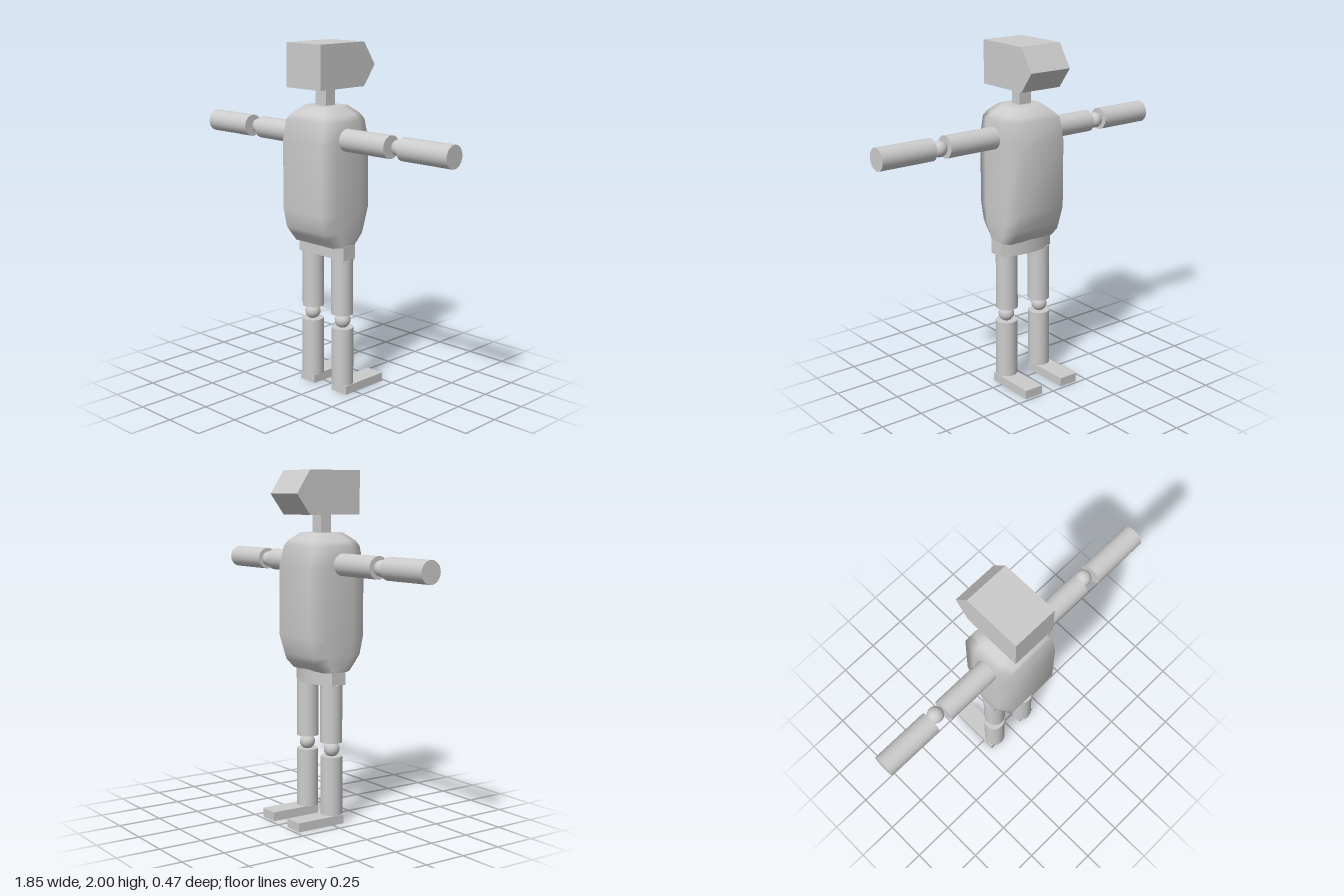
import * as THREE from 'three';

const grey = new THREE.MeshStandardMaterial({ color: 0xcccccc });

function add(parent, name, geometry, x = 0, y = 0, z = 0) {
  const mesh = new THREE.Mesh(geometry, grey);
  mesh.name = name;
  mesh.position.set(x, y, z);
  parent.add(mesh);
  return mesh;
}

// Eight-cornered cross-section with half width w, from front zf to back zb
function ring([y, w, zf, zb]) {
  const cx = w * 0.18, cz = (zf - zb) * 0.25;
  return [
    [w, zb + cz], [w, zf - cz], [w - cx, zf], [cx - w, zf],
    [-w, zf - cz], [-w, zb + cz], [cx - w, zb], [w - cx, zb],
  ].map(([x, z]) => [x, y, z]);
}

// Smooth skin over stacked rings, closed by flat caps
function loft(rows) {
  const rings = rows.map(ring), n = 8, pos = rings.flat(2), index = [];
  for (let r = 0; r < rings.length - 1; r++) {
    for (let i = 0; i < n; i++) {
      const a = r * n + i, b = r * n + (i + 1) % n;
      index.push(a, a + n, b, b, a + n, b + n);
    }
  }
  for (const [cap, up] of [[rings[0], false], [rings[rings.length - 1], true]]) {
    const start = pos.length / 3;
    pos.push(...cap.flat());
    for (let i = 1; i < n - 1; i++) {
      if (up) index.push(start, start + i + 1, start + i);
      else index.push(start, start + i, start + i + 1);
    }
  }
  const g = new THREE.BufferGeometry();
  g.setAttribute('position', new THREE.Float32BufferAttribute(pos, 3));
  g.setIndex(index);
  g.computeVertexNormals();
  return g;
}

export function createModel() {
  const model = new THREE.Group();
  model.name = 'mannequin';

  // Head: side profile with a wedge at the back, extruded across x
  const profile = new THREE.Shape([
    [-0.217, 1.755], [0.12, 1.755], [0.206, 1.87], [0.12, 2], [-0.217, 2],
  ].map(([u, v]) => new THREE.Vector2(u, v)));
  const headGeometry = new THREE.ExtrudeGeometry(profile, { depth: 0.265, bevelEnabled: false });
  headGeometry.translate(0, 0, -0.1325).rotateY(Math.PI / 2);
  add(model, 'head', headGeometry, -0.002);

  add(model, 'neck', new THREE.BoxGeometry(0.08, 0.13, 0.07), -0.003, 1.695, 0.05);

  // Torso rows: height, half width, front z, back z
  add(model, 'torso', loft([
    [0.875, 0.18, 0.14, -0.042],
    [0.925, 0.183, 0.18, -0.09],
    [0.965, 0.183, 0.21, -0.105],
    [1.07, 0.184, 0.233, -0.138],
    [1.46, 0.184, 0.233, -0.138],
    [1.58, 0.184, 0.205, -0.105],
    [1.61, 0.15, 0.196, -0.095],
    [1.655, 0.097, 0.138, -0.04],
  ]), -0.001);

  // Hip plate: flat in front, bowed at the back
  const hip = new THREE.Shape();
  hip.moveTo(-0.178, -0.093);
  hip.lineTo(0.178, -0.093);
  hip.lineTo(0.178, 0);
  hip.quadraticCurveTo(0, 0.094, -0.178, 0);
  hip.closePath();
  const hipGeometry = new THREE.ExtrudeGeometry(hip, { depth: 0.08, bevelEnabled: false, curveSegments: 16 });
  hipGeometry.rotateX(-Math.PI / 2);
  add(model, 'hips', hipGeometry, 0.004, 0.8, 0);

  const joint = new THREE.SphereGeometry(0.045, 24, 16);
  const limb = (length) => new THREE.CylinderGeometry(0.063, 0.063, length, 32);

  for (const [side, s] of [['left', 1], ['right', -1]]) {
    // Arm stretched out sideways
    const arm = new THREE.Group();
    arm.name = side + 'Arm';
    add(arm, side + 'UpperArm', limb(0.385).rotateZ(Math.PI / 2), s * 0.3125, 1.48, 0.066);
    add(arm, side + 'Elbow', joint, s * 0.55, 1.48, 0.052);
    add(arm, side + 'Forearm', limb(0.333).rotateZ(Math.PI / 2), s * 0.76, 1.48, 0.066);
    model.add(arm);

    // Leg with a long flat foot
    const leg = new THREE.Group();
    leg.name = side + 'Leg';
    add(leg, side + 'Thigh', limb(0.335), s * 0.117, 0.6375, 0.036);
    add(leg, side + 'Knee', joint, s * 0.122, 0.43, 0.036);
    add(leg, side + 'Shin', limb(0.34), s * 0.121, 0.22, 0.036);
    add(leg, side + 'Foot', new THREE.BoxGeometry(0.116, 0.052, 0.308), s * 0.129, 0.026, -0.079);
    model.add(leg);
  }
  return model;
}
